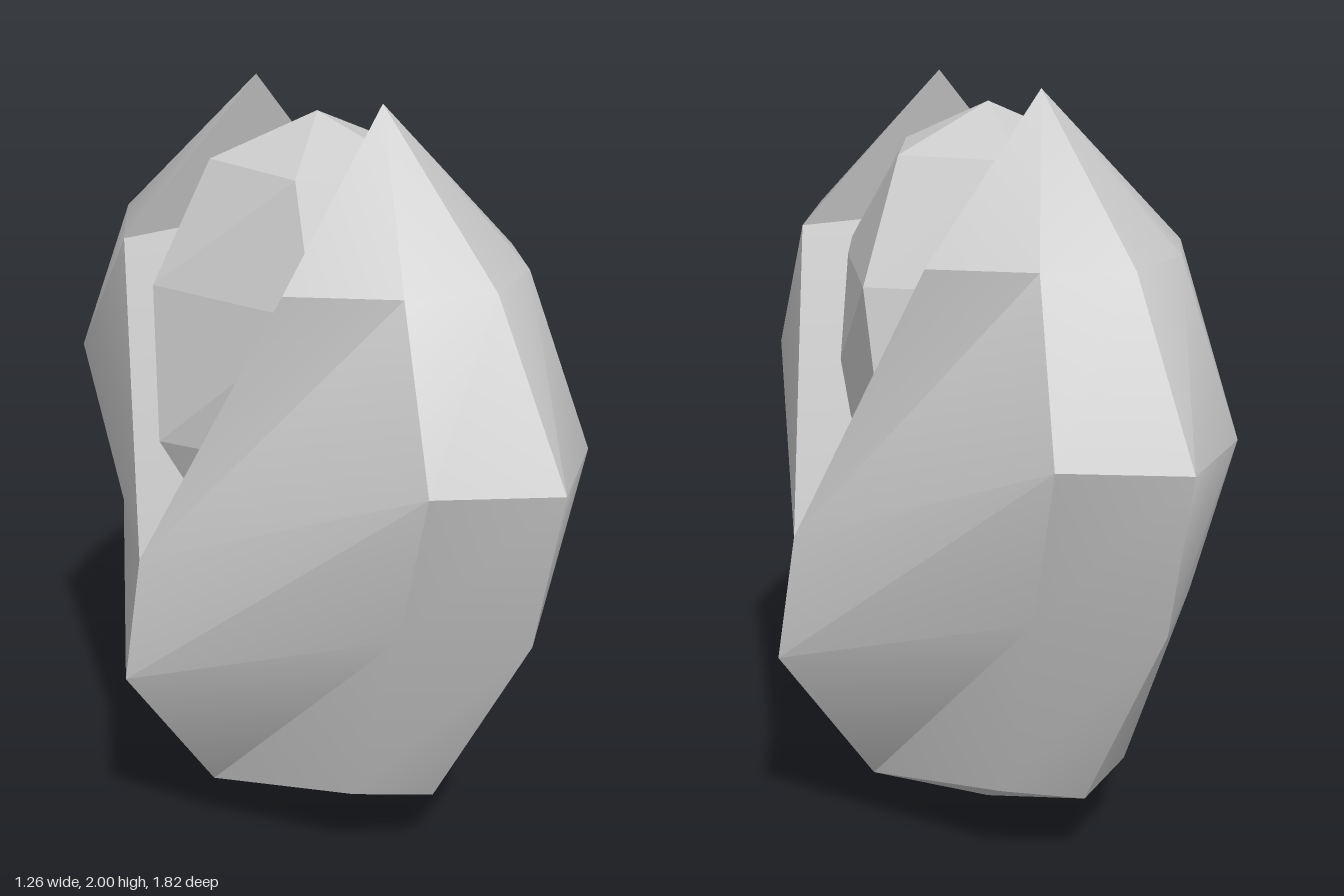
import * as THREE from 'three';
import { toCreasedNormals } from 'three/addons/utils/BufferGeometryUtils.js';

const material = new THREE.MeshStandardMaterial({ color: 0xcccccc });

function makeGeometry(triangles, crease) {
  const geo = new THREE.BufferGeometry();
  geo.setAttribute('position', new THREE.Float32BufferAttribute(triangles.flat(), 3));
  return toCreasedNormals(geo, crease);
}

// Joins two rows of points with quads; the rows run to the left as seen from outside
function joinRows(out, low, high, closed) {
  const n = low.length;
  for (let i = 0; i < (closed ? n : n - 1); i++) {
    const j = (i + 1) % n;
    out.push(low[j], low[i], high[i], low[j], high[i], high[j]);
  }
}

// Fan from a pole to a row, above or below it
function fan(out, pole, row, above, closed) {
  const n = row.length;
  for (let i = 0; i < (closed ? n : n - 1); i++) {
    const a = row[i], b = row[(i + 1) % n];
    out.push(pole, ...(above ? [b, a] : [a, b]));
  }
}

// One half husk: mirrored rows of side, middle and centre points
function shellGeometry() {
  const rows = [
    [[0.36, 0.165, 0], [0.19, 0.235, 0.39], [0, 0.207, 0.487]],
    [[0.63, 0.56, 0], [0.23, 0.78, 0.6], [0, 0.78, 0.825]],
    [[0.575, 0.88, 0], [0.26, 1.2, 0.73], [0, 1.2, 0.912]],
    [[0.37, 1.61, 0.33], [0.2, 1.625, 0.565], [0, 1.625, 0.665]],
  ].map(([s, m, c]) => [s, m, c, [-m[0], m[1], m[2]], [-s[0], s[1], s[2]]]);
  const base = [0, 0, 0], tip = [0, 2, 0.25];
  const tris = [];
  fan(tris, base, rows[0], false, false);
  for (let i = 0; i < 3; i++) joinRows(tris, rows[i], rows[i + 1], false);
  fan(tris, tip, rows[3], true, false);

  // Flat inner wall
  const rim = rows.map(r => [r[4], r[0]]);
  fan(tris, base, rim[0].slice().reverse(), false, false);
  for (let i = 0; i < 3; i++) joinRows(tris, rim[i], rim[i + 1], false);
  fan(tris, tip, rim[3], true, false);
  return makeGeometry(tris, 0.6);
}

// Five-sided twisted kernel
function coreGeometry() {
  const ring = ([r, y, turn]) => Array.from({ length: 5 }, (_, k) => {
    const a = THREE.MathUtils.degToRad(turn + 72 * k);
    return [r * Math.cos(a), y, r * Math.sin(a)];
  });
  const rings = [[0.27, 0.8, -32], [0.45, 1.14, -24], [0.43, 1.53, -14], [0.27, 1.83, -4]].map(ring);
  const tris = [];
  fan(tris, [0, 0.65, 0], rings[0], false, true);
  for (let i = 0; i < 3; i++) joinRows(tris, rings[i], rings[i + 1], true);
  fan(tris, [0, 1.945, 0], rings[3], true, true);
  return makeGeometry(tris, 0.1);
}

export function createModel() {
  const group = new THREE.Group();
  group.name = 'splitSeedPod';
  const add = (name, geo, turn = 0) => {
    const mesh = new THREE.Mesh(geo, material);
    mesh.name = name;
    mesh.rotation.y = turn;
    group.add(mesh);
  };
  const shell = shellGeometry();
  add('frontShell', shell);
  add('backShell', shell, Math.PI);
  add('innerKernel', coreGeometry());
  return group;
}
